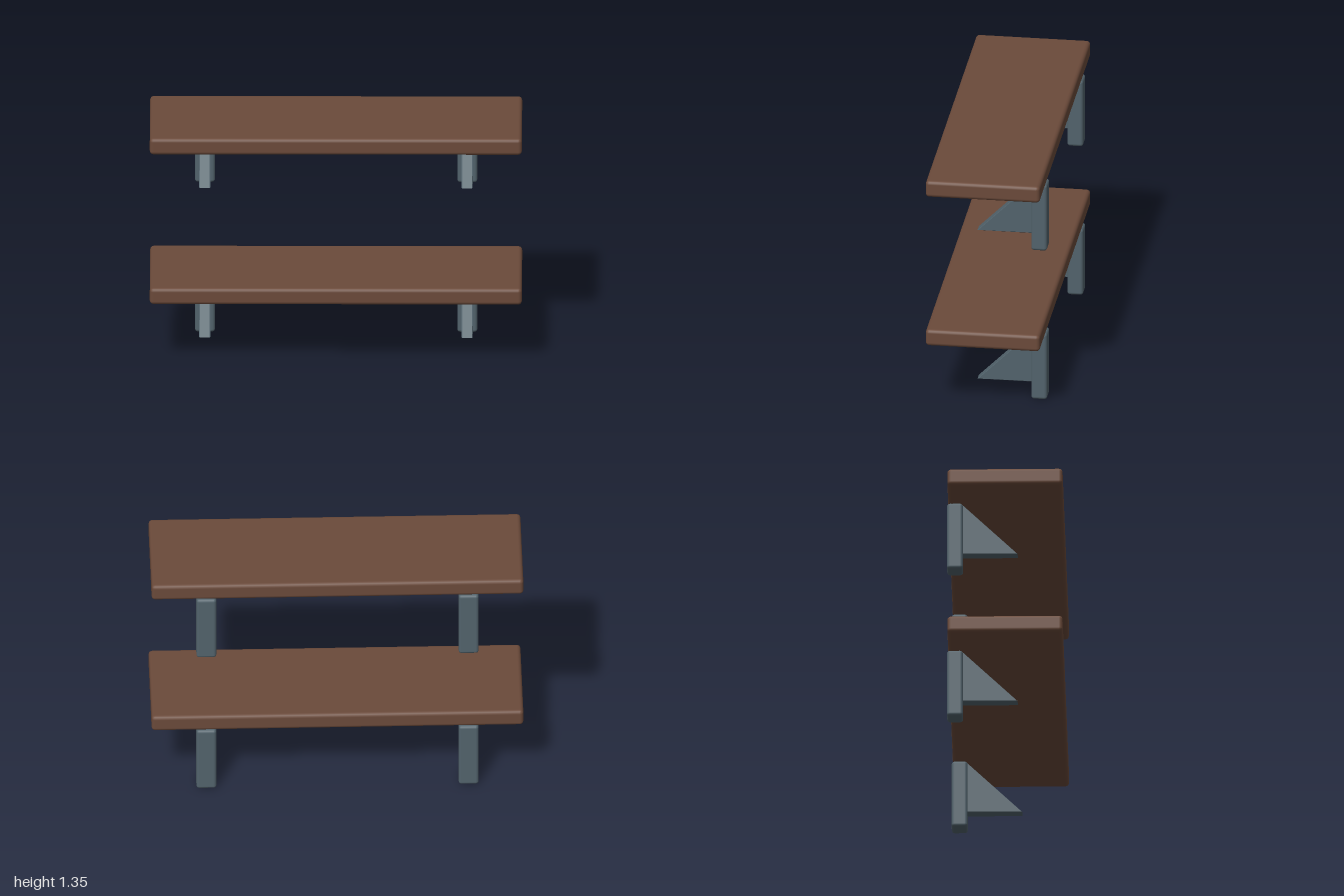
import * as THREE from 'three';
import { RoundedBoxGeometry } from 'three/addons/geometries/RoundedBoxGeometry.js';

const wood = new THREE.MeshStandardMaterial({ name: 'brown wood', color: 0x6b4a3a });
const metal = new THREE.MeshStandardMaterial({ name: 'slate metal', color: 0x52636c });

function add(parent, name, geometry, material, x, y, z) {
  const mesh = new THREE.Mesh(geometry, material);
  mesh.name = name;
  mesh.position.set(x, y, z);
  parent.add(mesh);
}

// Triangular brace: profile in z and y, extruded across x with a fine bevel
function braceGeometry() {
  const profile = new THREE.Shape([
    new THREE.Vector2(-0.235, 0.092),
    new THREE.Vector2(0.067, 0.092),
    new THREE.Vector2(-0.235, 0.39),
  ]);
  const width = 0.06, bevel = 0.004;
  const geometry = new THREE.ExtrudeGeometry(profile, {
    depth: width - 2 * bevel,
    bevelThickness: bevel,
    bevelSize: bevel,
    bevelOffset: -bevel,
    bevelSegments: 1,
  });
  geometry.translate(0, 0, bevel - width / 2);
  return geometry.rotateY(-Math.PI / 2);
}

export function createModel() {
  const model = new THREE.Group();
  model.name = 'wallShelves';

  const board = new RoundedBoxGeometry(2, 0.094, 0.62, 2, 0.02);
  const post = new RoundedBoxGeometry(0.108, 0.386, 0.086, 2, 0.016);
  const brace = braceGeometry();

  // Two identical shelves, one above the other
  ['lowerShelf', 'upperShelf'].forEach((name, i) => {
    const shelf = new THREE.Group();
    shelf.name = name;
    shelf.position.y = i * 0.872;
    add(shelf, 'board', board, wood, 0, 0.431, 0.003);

    // A bracket near each end
    for (const [side, x] of [['left', 0.705], ['right', -0.705]]) {
      const bracket = new THREE.Group();
      bracket.name = side + 'Bracket';
      bracket.position.x = x;
      add(bracket, 'wallPost', post, metal, 0, 0.193, -0.27);
      add(bracket, 'brace', brace, metal, 0, 0, 0);
      shelf.add(bracket);
    }
    model.add(shelf);
  });
  return model;
}
